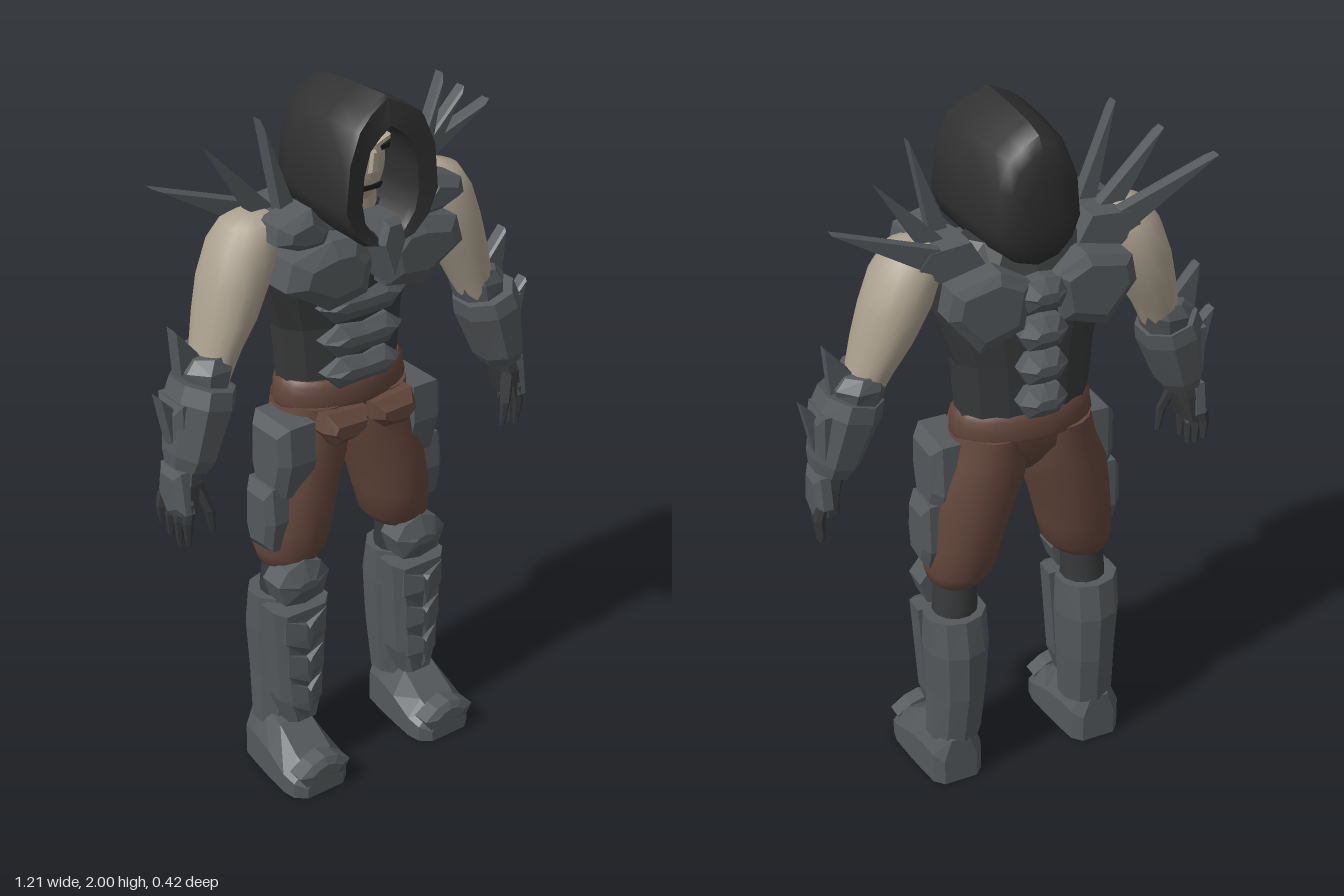
import * as THREE from 'three';
import { toCreasedNormals } from 'three/addons/utils/BufferGeometryUtils.js';

const paint = (name, color) => {
  const m = new THREE.MeshStandardMaterial({ color });
  m.name = name;
  return m;
};

// Skin joining rings of [x, y, z] points, with both ends closed; faces always point outwards
function loft(rings, smooth) {
  const n = rings[0].length, pos = rings.flat(2), idx = [];
  for (let r = 0; r < rings.length - 1; r++) {
    for (let i = 0; i < n; i++) {
      const a = r * n + i, b = r * n + (i + 1) % n;
      idx.push(a, b, b + n, a, b + n, a + n);
    }
  }
  [0, rings.length - 1].forEach((r, end) => {
    const c = pos.length / 3;
    for (let k = 0; k < 3; k++) pos.push(rings[r].reduce((s, p) => s + p[k], 0) / n);
    for (let i = 0; i < n; i++) {
      const a = r * n + i, b = r * n + (i + 1) % n;
      idx.push(...(end ? [a, b, c] : [b, a, c]));
    }
  });
  const at = i => new THREE.Vector3().fromArray(pos, i * 3);
  let volume = 0;
  for (let i = 0; i < idx.length; i += 3) volume += at(idx[i]).dot(at(idx[i + 1]).cross(at(idx[i + 2])));
  if (volume < 0) idx.reverse();
  const g = new THREE.BufferGeometry();
  g.setAttribute('position', new THREE.Float32BufferAttribute(pos, 3));
  g.setIndex(idx);
  const out = g.toNonIndexed();
  if (smooth) return toCreasedNormals(out, 0.9);
  out.computeVertexNormals();
  return out;
}

// Elliptical level rings: [x, y, z, radiusX, radiusZ, tilt]
const limb = (rows, n) => rows.map(([x, y, z, rx, rz, tilt = 0]) =>
  Array.from({ length: n }, (_, i) => {
    const a = (i + 0.5) / n * Math.PI * 2;
    return [x + rx * Math.cos(a), y + tilt * Math.cos(a), z + rz * Math.sin(a)];
  }));

// Faceted armour plate: outline from depth d0 to d1, then a smaller raised face (scaled su, sv) at peak
function plate(pts, d0, d1, peak, [su, sv], sideways = false) {
  const cx = pts.reduce((s, p) => s + p[0], 0) / pts.length;
  const cy = pts.reduce((s, p) => s + p[1], 0) / pts.length;
  return [[1, 1, d0], [1, 1, d1], [su, sv, peak]].map(([s, t, d]) => pts.map(([u, v]) => {
    const a = cx + (u - cx) * s, b = cy + (v - cy) * t;
    return sideways ? [d, b, a] : [a, b, d];
  }));
}

const spike = (a, b, tip, z) => plate([a, tip, b], z - 0.02, z + 0.01, z + 0.02, [0.88, 0.88]);
const mirrorLine = half => [...half, ...half.slice(1, -1).reverse().map(([x, y]) => [-x, y])];

export function createModel() {
  const model = new THREE.Group();
  const steel = paint('steel grey', 0x55595c);
  const cloth = paint('hood black', 0x303030);
  const under = paint('undersuit charcoal', 0x38393a);
  const skin = paint('pale skin', 0xaca18f);
  const leather = paint('brown leather', 0x62463b);
  const ink = paint('eye black', 0x1a1a1a);

  const add = (name, rings, mat, smooth = false) => {
    const mesh = new THREE.Mesh(loft(rings, smooth), mat);
    mesh.name = name;
    model.add(mesh);
  };
  const pair = (name, rings, mat, smooth) => {
    add(name + 'Left', rings, mat, smooth);
    add(name + 'Right', rings.map(r => r.map(([x, y, z]) => [-x, y, z])), mat, smooth);
  };

  // Hood: one skin from the hollow, round the rim (cut back at the top) and over the back
  const outer = mirrorLine([[0, 2], [0.06, 1.97], [0.106, 1.935], [0.141, 1.855], [0.153, 1.73], [0.125, 1.665], [0.075, 1.62], [0, 1.6]]);
  const inner = mirrorLine([[0, 1.92], [0.03, 1.9], [0.06, 1.87], [0.078, 1.81], [0.083, 1.74], [0.074, 1.69], [0.045, 1.65], [0, 1.63]]);
  const ring = (line, z, sx = 1, sy = 1, cut = 0) =>
    line.map(([x, y]) => [x * sx, 1.8 + (y - 1.8) * sy, z - cut * Math.max(0, y - 1.92)]);
  add('hood', [ring(inner, -0.05), ring(inner, 0.16), ring(inner, 0.182, 1.07, 1.05), ring(outer, 0.19, 0.94, 0.97, 0.3),
    ring(outer, 0.17, 1, 1, 0.2), ring(outer, 0.05, 0.98, 0.99), ring(outer, -0.08, 0.88, 0.955),
    ring(outer, -0.14, 0.76, 0.88), ring(outer, -0.165, 0.6, 0.7), ring(outer, -0.173, 0.3, 0.35)], cloth, true);

  // Face
  const head = new THREE.SphereGeometry(1, 24, 18);
  const hp = head.attributes.position;
  for (let i = 0; i < hp.count; i++) {
    const y = hp.getY(i), jaw = y < 0 ? 1 - 0.18 * y * y : 1;
    hp.setXYZ(i, hp.getX(i) * 0.08 * jaw, 1.802 + y * 0.13, 0.02 + hp.getZ(i) * 0.09);
  }
  head.computeVertexNormals();
  const face = new THREE.Mesh(head, skin);
  face.name = 'head';
  model.add(face);
  add('neck', limb([[0, 1.74, 0.01, 0.068, 0.065], [0, 1.6, 0, 0.085, 0.075]], 12), skin, true);
  add('nose', plate([[-0.007, 1.84], [0.007, 1.84], [0.016, 1.78], [-0.016, 1.78]], 0.09, 0.108, 0.118, [0.6, 0.85]), skin);
  add('mouth', plate([[-0.038, 1.745], [0.038, 1.745], [0.03, 1.731], [-0.03, 1.731]], 0.094, 0.1, 0.102, [0.9, 0.9]), ink);
  pair('eye', plate([[0.014, 1.837], [0.065, 1.848], [0.06, 1.831], [0.02, 1.826]], 0.09, 0.095, 0.098, [0.9, 0.9]), ink);
  pair('brow', plate([[0.006, 1.85], [0.062, 1.872], [0.062, 1.859], [0.012, 1.838]], 0.08, 0.095, 0.105, [0.8, 0.8]), skin);

  // Torso, belt and pouches
  add('torso', limb([[0, 1.16, -0.045, 0.187, 0.108], [0, 1.35, -0.047, 0.203, 0.11], [0, 1.5, -0.035, 0.255, 0.12],
    [0, 1.6, -0.03, 0.27, 0.115], [0, 1.68, -0.02, 0.15, 0.08]], 14), under);
  add('belt', limb([[0, 1.12, -0.04, 0.198, 0.122], [0, 1.135, -0.04, 0.204, 0.128], [0, 1.16, -0.04, 0.199, 0.122],
    [0, 1.185, -0.04, 0.197, 0.123], [0, 1.2, -0.04, 0.185, 0.112]], 24), leather, true);
  add('pelvis', limb([[0, 1.16, -0.04, 0.19, 0.118], [0, 1.08, -0.04, 0.18, 0.112], [0, 1.03, -0.04, 0.1, 0.085], [0, 0.99, -0.04, 0.03, 0.05]], 20), leather, true);
  pair('pouch', plate([[0.01, 1.12], [0.14, 1.13], [0.155, 1.08], [0.12, 1.03], [0.05, 1.035], [0.01, 1.07]], 0.05, 0.1, 0.13, [0.7, 0.4]), leather);

  // Chest, belly and back armour
  pair('chestPlate', plate([[0.01, 1.57], [0.06, 1.63], [0.14, 1.635], [0.262, 1.605], [0.284, 1.53], [0.21, 1.485], [0.15, 1.445], [0.03, 1.465]], 0.03, 0.125, 0.155, [0.65, 0.55]), steel);
  add('collarClasp', plate([[-0.025, 1.685], [0.025, 1.685], [0.044, 1.62], [0, 1.5], [-0.044, 1.62]], 0.1, 0.185, 0.203, [0.7, 0.75]), steel);
  [[1.415, 0.14], [1.315, 0.128], [1.22, 0.122]].forEach(([y, w], i) => {
    add('bellyPlate' + i, plate(mirrorLine([[0, y + 0.035], [w * 0.6, y + 0.045], [w, y + 0.005], [w * 0.65, y - 0.045], [0, y - 0.047]]), 0, 0.07, 0.094, [0.75, 0.3]), steel);
  });
  pair('backPlate', plate([[0.035, 1.6], [0.12, 1.645], [0.25, 1.615], [0.265, 1.54], [0.18, 1.43], [0.055, 1.47]], -0.11, -0.175, -0.193, [0.75, 0.7]), steel);
  [1.56, 1.45, 1.35, 1.25].forEach((y, i) => {
    add('spinePlate' + i, plate(mirrorLine([[0, y + 0.047], [0.045, y + 0.04], [0.07, y], [0.045, y - 0.045], [0, y - 0.05]]), -0.12, -0.18, -0.207, [0.5, 0.3]), steel);
  });

  // Shoulder guards with their spikes
  pair('shoulderGuard', plate([[0.135, 1.66], [0.19, 1.73], [0.29, 1.7], [0.3, 1.655], [0.23, 1.625], [0.15, 1.62]], 0.02, 0.105, 0.13, [0.6, 0.5]), steel);
  pair('shoulderBase', plate([[0.13, 1.64], [0.17, 1.71], [0.28, 1.7], [0.31, 1.66], [0.24, 1.6]], -0.11, -0.02, 0.02, [0.9, 0.9]), steel);
  pair('spikeInner', spike([0.18, 1.69], [0.235, 1.7], [0.285, 1.96], 0.018), steel);
  pair('spikeMiddle', spike([0.215, 1.7], [0.27, 1.67], [0.4, 1.885], -0.033), steel);
  pair('spikeOuter', spike([0.25, 1.705], [0.27, 1.64], [0.535, 1.805], -0.088), steel);

  // Arms, cuffs, bracers
  pair('upperArm', limb([[0.28, 1.705, -0.02, 0.03, 0.04], [0.29, 1.69, -0.02, 0.075, 0.075], [0.312, 1.63, -0.022, 0.093, 0.1], [0.344, 1.54, -0.022, 0.093, 0.104],
    [0.378, 1.45, -0.015, 0.08, 0.097], [0.412, 1.37, -0.01, 0.062, 0.08], [0.445, 1.28, 0, 0.05, 0.06]], 18), skin, true);
  pair('elbowCuff', limb([[0.435, 1.375, -0.01, 0.062, 0.076, -0.01], [0.448, 1.335, -0.01, 0.078, 0.088], [0.455, 1.295, -0.005, 0.066, 0.08, 0.02]], 8), steel);
  pair('elbowSpike', spike([0.46, 1.36], [0.53, 1.32], [0.54, 1.455], -0.01), steel);
  pair('bracer', limb([[0.462, 1.295, 0.005, 0.083, 0.097, 0.025], [0.475, 1.25, 0.008, 0.09, 0.103, 0.025], [0.515, 1.11, 0.015, 0.068, 0.085, 0.02],
    [0.525, 1.075, 0.015, 0.055, 0.068, 0.015]], 8), steel);
  pair('bracerPlate', plate([[0.06, 1.27], [-0.055, 1.27], [-0.04, 1.12], [0.015, 1.09], [0.06, 1.12]], 0.5, 0.558, 0.572, [0.6, 0.7], true), steel);
  pair('bracerSpike', spike([0.54, 1.23], [0.575, 1.15], [0.605, 1.295], 0.01), steel);

  // Gloves
  pair('palm', limb([[0.52, 1.1, 0.015, 0.036, 0.045], [0.535, 1.04, 0.017, 0.038, 0.058], [0.547, 0.96, 0.017, 0.026, 0.062]], 8), under);
  pair('gloveGuard', plate([[0.06, 1.08], [-0.035, 1.08], [-0.05, 0.99], [0.005, 0.93], [0.078, 0.965]], 0.545, 0.572, 0.585, [0.6, 0.7], true), steel);
  for (let i = 0; i < 4; i++) {
    const z = 0.062 - i * 0.031, x = 0.55 + i * 0.007, drop = [0.01, 0, 0.015, 0.045][i];
    pair('finger' + i, limb([[x, 0.99, z, 0.016, 0.016], [x + 0.008, 0.93 + drop * 0.5, z, 0.015, 0.015], [x + 0.005, 0.855 + drop, z - 0.005, 0.007, 0.008]], 6), under);
  }
  pair('thumb', limb([[0.525, 1.04, 0.05, 0.02, 0.02], [0.5, 0.96, 0.075, 0.015, 0.015], [0.49, 0.89, 0.075, 0.007, 0.007]], 6), under);

  // Trousers with side armour
  pair('trouserLeg', limb([[0.095, 1.13, -0.04, 0.1, 0.117], [0.1, 1.05, -0.04, 0.115, 0.117], [0.125, 0.97, -0.036, 0.126, 0.118], [0.148, 0.88, -0.032, 0.115, 0.12],
    [0.167, 0.78, -0.025, 0.108, 0.115], [0.18, 0.7, -0.025, 0.1, 0.103], [0.19, 0.665, -0.025, 0.08, 0.085], [0.195, 0.645, -0.025, 0.055, 0.06]], 18), leather, true);
  pair('hipPlate', plate([[0.08, 1.11], [-0.08, 1.11], [-0.085, 0.96], [-0.06, 0.89], [0.055, 0.89], [0.085, 1.0]], 0.165, 0.245, 0.272, [0.7, 0.75], true), steel);
  pair('thighPlate', plate([[0.045, 0.925], [-0.065, 0.925], [-0.07, 0.78], [-0.05, 0.72], [0.04, 0.73], [0.055, 0.82]], 0.22, 0.28, 0.3, [0.7, 0.7], true), steel);

  // Knees
  pair('kneeJoint', limb([[0.195, 0.67, -0.03, 0.06, 0.06], [0.2, 0.53, -0.035, 0.066, 0.066]], 12), under, true);
  pair('kneeGuard', plate([[0.145, 0.675], [0.2, 0.695], [0.255, 0.675], [0.287, 0.635], [0.265, 0.57], [0.2, 0.557], [0.14, 0.57], [0.118, 0.635]], 0, 0.075, 0.1, [0.4, 0.2]), steel);

  // Boots
  pair('bootShaft', limb([[0.205, 0.56, -0.045, 0.09, 0.08], [0.205, 0.45, -0.05, 0.094, 0.094], [0.205, 0.3, -0.048, 0.085, 0.09],
    [0.212, 0.14, -0.04, 0.08, 0.076]], 10), steel);
  pair('shinPanel', plate([[0.112, 0.55], [0.295, 0.55], [0.275, 0.25], [0.25, 0.17], [0.16, 0.17], [0.135, 0.25]], 0, 0.06, 0.085, [0.7, 0.95]), steel);
  [0.47, 0.36, 0.26].forEach((y, i) => {
    const w = 0.068 - i * 0.008;
    pair('shinChevron' + i, plate([[0.205 - w, y + 0.055], [0.205, y + 0.03], [0.205 + w, y + 0.055], [0.205 + w, y - 0.02], [0.205, y - 0.08], [0.205 - w, y - 0.02]], 0.05, 0.085, 0.105, [0.15, 0.6]), steel);
  });
  const foot = [[-0.112, 0.05, 0.15], [-0.085, 0.075, 0.175], [-0.03, 0.083, 0.185], [0.05, 0.092, 0.165], [0.13, 0.098, 0.11], [0.17, 0.09, 0.085], [0.196, 0.06, 0.06]];
  pair('foot', foot.map(([z, w, h]) => [[-w, 0], [-w, 0.55 * h], [-0.55 * w, h], [0.55 * w, h], [w, 0.55 * h], [w, 0]].map(([x, y]) => [0.222 + x, y, z])), steel);
  pair('toeGuard', plate([[0.137, 0.075], [0.18, 0.105], [0.222, 0.118], [0.265, 0.105], [0.308, 0.075], [0.285, 0.038], [0.222, 0.055], [0.16, 0.038]], 0.145, 0.195, 0.208, [0.6, 0.5]), steel);

  return model;
}
